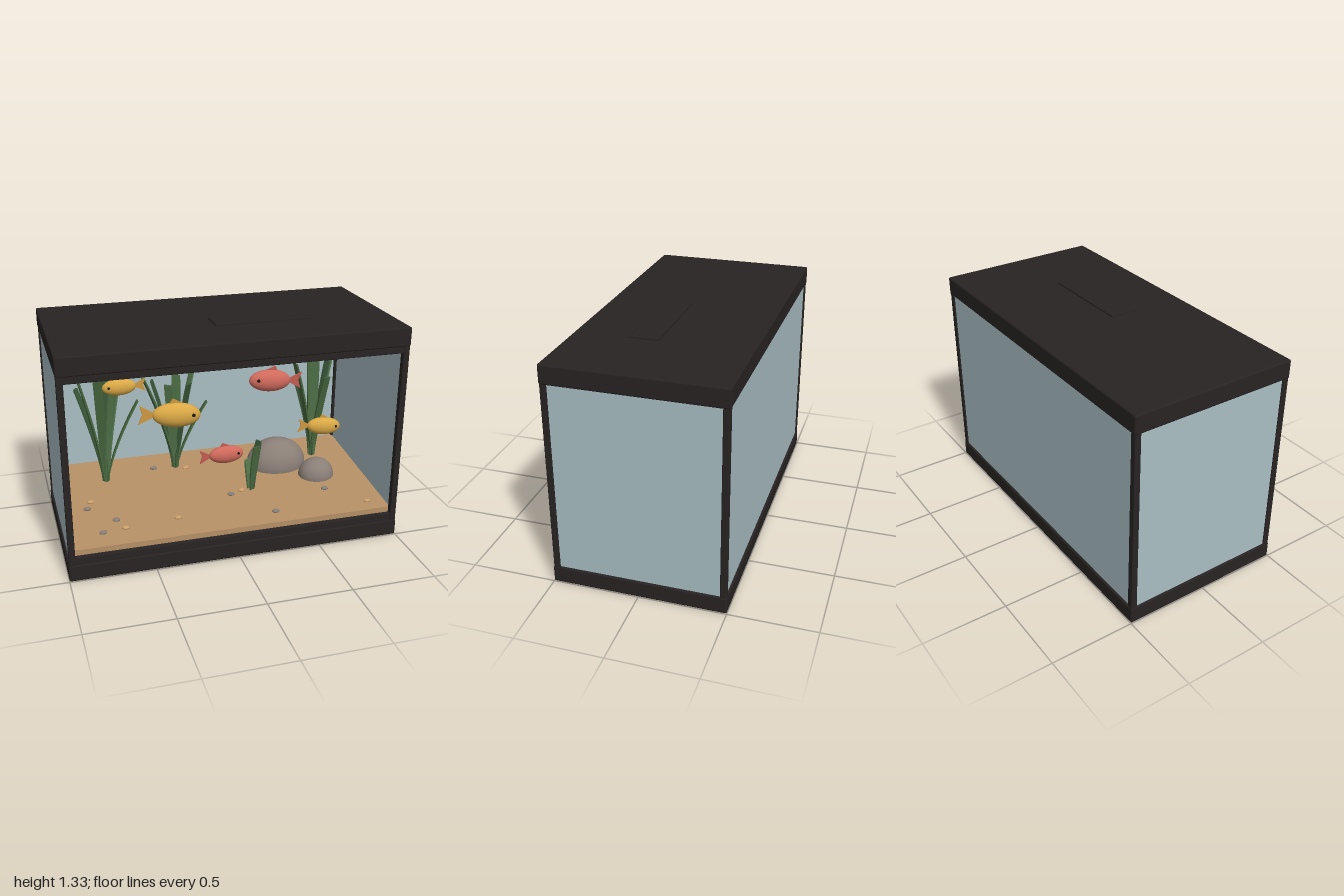
import * as THREE from 'three';
import { RoundedBoxGeometry } from 'three/addons/geometries/RoundedBoxGeometry.js';

const mat = (color, opts = {}) => {
  const m = new THREE.MeshStandardMaterial(opts);
  m.color.set(color);
  return m;
};
const FRAME = mat(0x272322), GLASS = mat(0xa9bec3), SAND = mat(0xb58f66);
const ROCK = mat(0x8a7f77), PEBBLES = [mat(0x857d78), mat(0xcb9f6c)];
const LEAVES = [0x48693f, 0x3c5a3a, 0x55784d].map((c) => mat(c, { flatShading: true }));
const YELLOW = mat(0xdaa845), YELLOW_FIN = mat(0xcf9840);
const RED = mat(0xd06a5c), RED_FIN = mat(0xc25c50);
const EYE = mat(0x151515);

const sandY = (z) => 0.175 + (0.46 - z) * 0.103;

function add(parent, name, geometry, material, x = 0, y = 0, z = 0) {
  const mesh = new THREE.Mesh(geometry, material);
  mesh.name = name;
  mesh.position.set(x, y, z);
  parent.add(mesh);
}

const rounded = (w, h, d, r = 0.01) => new RoundedBoxGeometry(w, h, d, 2, r);

// A flat blade that leans outwards along (dx, dz) as it rises
function bladeGeometry(width, height, dx, dz) {
  const g = new THREE.BoxGeometry(width, height, 0.012, 1, 8, 1);
  g.translate(0, height / 2, 0);
  g.rotateY(Math.atan2(dx, dz));
  const p = g.attributes.position;
  for (let i = 0; i < p.count; i++) {
    const t = THREE.MathUtils.clamp(p.getY(i) / height, 0, 1);
    const taper = 0.65 + 0.35 * Math.sin(Math.PI * t * 0.75);
    const bend = Math.pow(t, 1.45);
    p.setX(i, p.getX(i) * taper + dx * bend);
    p.setZ(i, p.getZ(i) * taper + dz * bend);
  }
  g.computeVertexNormals();
  return g;
}

// blades: [dx, height, dz, width]
function plant(x, z, blades) {
  const g = new THREE.Group();
  g.name = 'plant';
  g.position.set(x, sandY(z) - 0.01, z);
  blades.forEach(([dx, h, dz, w], i) => {
    const a = Math.atan2(dx, dz);
    add(g, 'leafBlade', bladeGeometry(w, h, dx, dz), LEAVES[i % 3], Math.sin(a) * 0.012, 0, Math.cos(a) * 0.012);
  });
  return g;
}

function fin(points) {
  const shape = new THREE.Shape(points.map(([x, y]) => new THREE.Vector2(x, y)));
  const g = new THREE.ExtrudeGeometry(shape, { depth: 0.03, bevelEnabled: false });
  return g.translate(0, 0, -0.015);
}

// Fish of unit body length facing +x, scaled to size; dir -1 faces it to -x
function fish(x, y, z, length, height, dir, tilt, body, finMat) {
  const g = new THREE.Group();
  g.name = 'fish';
  const h = height / length;
  add(g, 'fishBody', new THREE.SphereGeometry(0.5, 32, 20).scale(1, h, h * 0.72), body);
  add(g, 'tailFin', fin([[-0.44, 0.03], [-0.77, 0.2], [-0.7, 0], [-0.77, -0.2], [-0.44, -0.03]]), finMat);
  add(g, 'dorsalFin', fin([[0.14, h * 0.46], [-0.1, h * 0.5 + 0.09], [-0.17, h * 0.44]]), finMat);
  for (const s of [-1, 1]) {
    add(g, 'eye', new THREE.SphereGeometry(0.038, 12, 8), EYE, 0.32, h * 0.07, s * h * 0.27);
  }
  g.scale.setScalar(length);
  g.position.set(x, y, z);
  // Tilt is about the front axis, applied after the turn
  g.rotation.set(0, dir < 0 ? Math.PI : 0, tilt, 'ZYX');
  return g;
}

export function createModel() {
  const model = new THREE.Group();
  model.name = 'aquarium';

  // Base, lid and raised feeding hatch
  add(model, 'base', rounded(2, 0.1, 1), FRAME, 0, 0.05, 0);
  add(model, 'lid', rounded(2, 0.112, 1), FRAME, 0, 1.268, 0);
  add(model, 'hatch', rounded(0.595, 0.03, 0.165, 0.004), FRAME, 0.238, 1.319, 0.098);

  // Corner posts and front rails
  for (const sx of [-1, 1]) {
    for (const sz of [-1, 1]) {
      add(model, 'cornerPost', rounded(0.037, 1.13, 0.037, 0.005), FRAME, sx * 0.978, 0.655, sz * 0.478);
    }
  }
  add(model, 'lowerRail', rounded(1.93, 0.05, 0.03, 0.005), FRAME, 0, 0.12, 0.478);
  add(model, 'upperRail', rounded(1.93, 0.045, 0.03, 0.005), FRAME, 0, 1.194, 0.478);

  // Back and side panes
  add(model, 'backPane', new THREE.BoxGeometry(1.92, 1.13, 0.012), GLASS, 0, 0.655, -0.482);
  for (const s of [-1, 1]) {
    add(model, 'sidePane', new THREE.BoxGeometry(0.012, 1.13, 0.92), GLASS, s * 0.982, 0.655, 0);
  }

  // Sand bed sloping up to the back
  const bed = new THREE.Shape([[0.46, 0.09], [0.46, sandY(0.46)], [-0.474, sandY(-0.474)], [-0.474, 0.09]]
    .map(([z, y]) => new THREE.Vector2(z, y)));
  const bedGeo = new THREE.ExtrudeGeometry(bed, { depth: 1.94, bevelEnabled: false });
  bedGeo.translate(0, 0, -0.97).rotateY(-Math.PI / 2);
  add(model, 'sandBed', bedGeo, SAND);

  // Rocks and pebbles
  add(model, 'largeRock', new THREE.SphereGeometry(1, 32, 20).scale(0.195, 0.165, 0.15), ROCK, 0.46, 0.25, -0.2);
  add(model, 'smallRock', new THREE.SphereGeometry(1, 32, 20).scale(0.115, 0.11, 0.1), ROCK, 0.665, 0.225, 0);
  const pebbles = [[-0.83, 0.07], [-0.8, 0], [-0.775, 0.33], [-0.64, 0.31], [-0.68, 0.22], [-0.32, 0.28],
    [-0.345, -0.3], [-0.14, -0.26], [0.06, 0.11], [0.135, 0.08], [0.27, 0.35], [0.25, -0.36], [0.655, 0.18], [0.86, 0.37]];
  pebbles.forEach(([x, z], i) => {
    add(model, 'pebble', new THREE.SphereGeometry(1, 12, 8).scale(0.023, 0.011, 0.018), PEBBLES[i % 2], x, sandY(z) + 0.003, z);
  });

  // Plants
  model.add(plant(-0.665, -0.23, [
    [-0.035, 0.86, 0.06, 0.055], [0.03, 0.85, -0.06, 0.06], [0.07, 0.86, 0.08, 0.05], [-0.15, 0.76, 0.02, 0.045],
    [-0.14, 0.61, -0.08, 0.05], [0.14, 0.86, -0.06, 0.05], [0.2, 0.54, 0.03, 0.045]]));
  model.add(plant(-0.2, -0.3, [
    [-0.19, 0.65, 0.04, 0.045], [-0.12, 0.6, -0.05, 0.05], [-0.05, 0.61, 0.08, 0.055], [0.03, 0.61, -0.07, 0.06],
    [0.07, 0.6, 0.07, 0.055], [0.12, 0.65, -0.04, 0.05], [0.19, 0.46, 0.04, 0.045]]));
  model.add(plant(0.2, 0.07, [
    [0.015, 0.31, 0.03, 0.055], [0.045, 0.32, -0.02, 0.05], [-0.01, 0.2, -0.02, 0.045]]));
  model.add(plant(0.73, -0.25, [
    [-0.14, 0.68, 0.04, 0.045], [-0.11, 0.55, -0.05, 0.05], [-0.03, 0.82, 0.08, 0.055], [0.0, 0.87, -0.08, 0.055],
    [0.05, 0.75, 0.07, 0.055], [0.12, 0.74, -0.03, 0.045], [0.03, 0.6, 0.12, 0.05]]));

  // Fish
  model.add(fish(-0.27, 0.767, 0.07, 0.295, 0.152, 1, -0.09, YELLOW, YELLOW_FIN));
  model.add(fish(-0.6, 0.965, 0.04, 0.2, 0.1, -1, 0.01, YELLOW, YELLOW_FIN));
  model.add(fish(0.63, 0.635, 0.17, 0.215, 0.11, 1, -0.11, YELLOW, YELLOW_FIN));
  model.add(fish(0.335, 0.9, 0, 0.265, 0.138, -1, -0.08, RED, RED_FIN));
  model.add(fish(0, 0.535, 0.2, 0.212, 0.11, 1, 0.02, RED, RED_FIN));

  return model;
}
